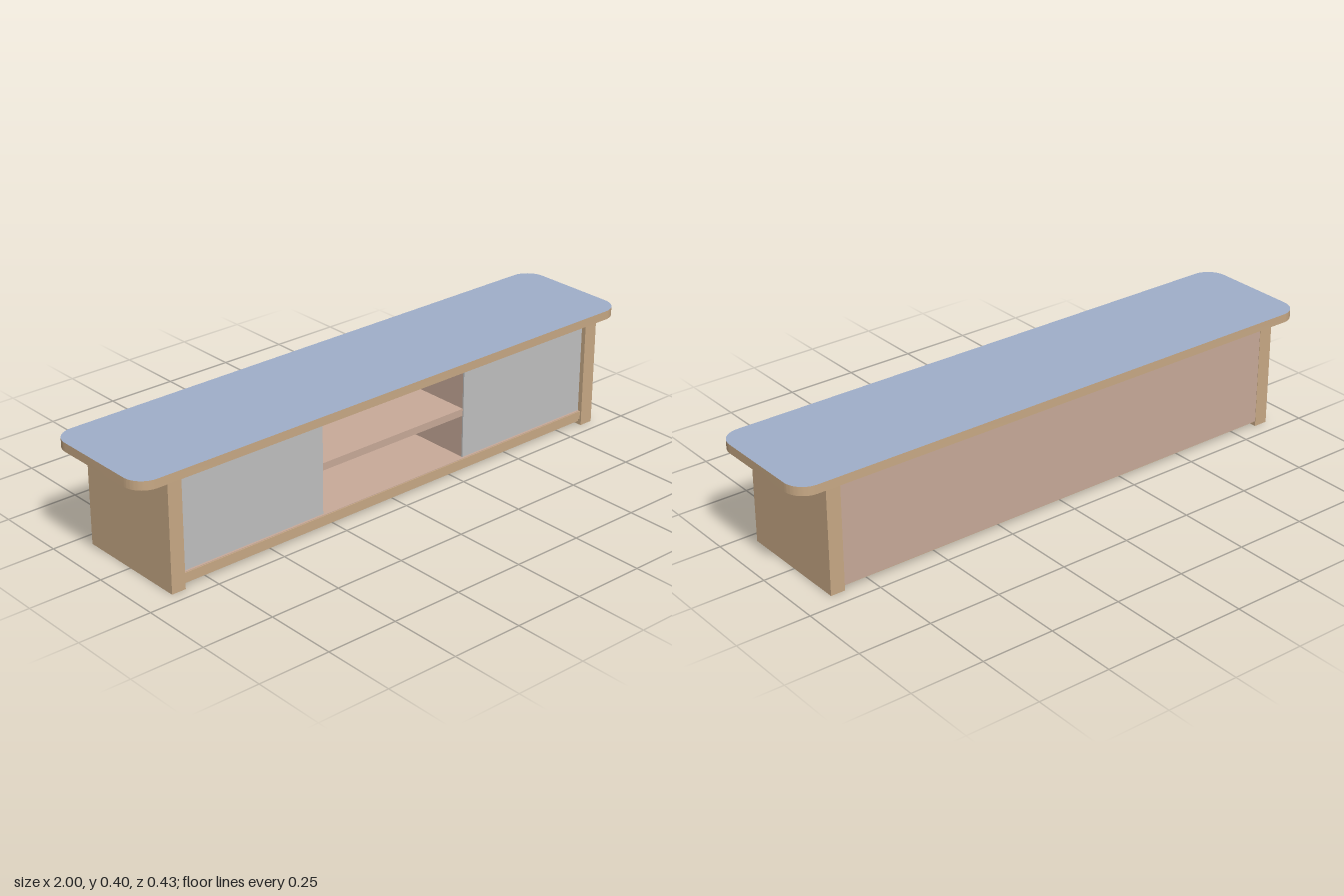
import * as THREE from 'three';
import { toCreasedNormals } from 'three/addons/utils/BufferGeometryUtils.js';

const material = (name, color) => {
  const m = new THREE.MeshStandardMaterial({ color });
  m.name = name;
  return m;
};

export function createModel() {
  const wood = material('tan wood', 0xc8a985);
  const inner = material('pink interior', 0xc8aa99);
  const grey = material('grey door', 0xc0c0c0);
  const blue = material('blue top', 0xa0afca);
  const group = new THREE.Group();
  group.name = 'lowCabinet';

  // Box given by its limits on each axis
  const box = (name, mat, [x0, x1], [y0, y1], [z0, z1]) => {
    const mesh = new THREE.Mesh(new THREE.BoxGeometry(x1 - x0, y1 - y0, z1 - z0), mat);
    mesh.position.set((x0 + x1) / 2, (y0 + y1) / 2, (z0 + z1) / 2);
    mesh.name = name;
    group.add(mesh);
  };

  // Rounded top board: blue faces, tan edge
  const w = 1, d = 0.217, r = 0.07;
  const outline = new THREE.Shape();
  outline.absarc(w - r, d - r, r, 0, Math.PI / 2);
  outline.absarc(-w + r, d - r, r, Math.PI / 2, Math.PI);
  outline.absarc(-w + r, -d + r, r, Math.PI, Math.PI * 1.5);
  outline.absarc(w - r, -d + r, r, Math.PI * 1.5, Math.PI * 2);
  outline.closePath();
  const slab = new THREE.ExtrudeGeometry(outline, { depth: 0.03, bevelEnabled: false, curveSegments: 12 });
  slab.rotateX(-Math.PI / 2);
  const top = new THREE.Mesh(toCreasedNormals(slab, 0.6), [blue, wood]);
  top.position.y = 0.369;
  top.name = 'topBoard';
  group.add(top);

  // Base, front rail and back
  box('bottomBoard', wood, [-0.842, 0.842], [0.012, 0.045], [-0.19, 0.197]);
  box('frontRail', wood, [-0.842, 0.842], [0.022, 0.05], [0.18, 0.203]);
  box('backPanel', inner, [-0.842, 0.842], [0.018, 0.369], [-0.197, -0.185]);

  // Interior floor and shelf
  box('floorLining', inner, [-0.84, 0.84], [0.045, 0.052], [-0.185, 0.2]);
  box('shelf', inner, [-0.298, 0.298], [0.2, 0.225], [-0.185, 0.19]);

  // Mirrored side panels, dividers and doors
  for (const s of [-1, 1]) {
    const side = s < 0 ? 'right' : 'left';
    const span = (a, b) => (s < 0 ? [-b, -a] : [a, b]);
    box(side + 'SidePanel', wood, span(0.842, 0.892), [0, 0.369], [-0.198, 0.209]);
    box(side + 'Divider', inner, span(0.297, 0.32), [0.05, 0.369], [-0.185, 0.188]);
    box(side + 'Door', grey, span(0.297, 0.842), [0.052, 0.369], [0.188, 0.193]);
  }
  return group;
}
